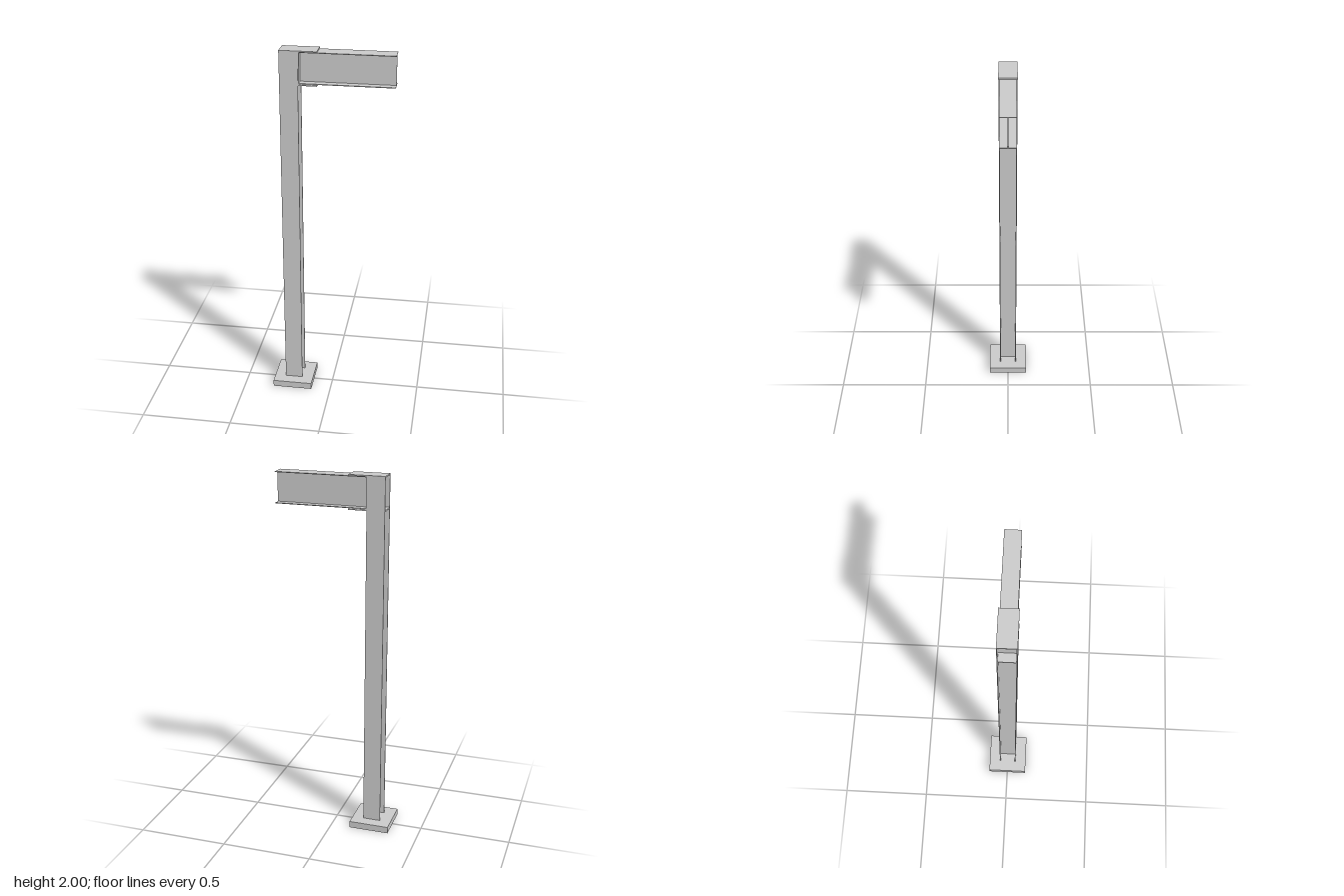
import * as THREE from 'three';

const steel = new THREE.MeshStandardMaterial({ color: 0xcccccc, flatShading: true });

// Box given by its min and max on each axis
function block(name, [x0, x1], [y0, y1], [z0, z1]) {
  const mesh = new THREE.Mesh(new THREE.BoxGeometry(x1 - x0, y1 - y0, z1 - z0), steel);
  mesh.name = name;
  mesh.position.set((x0 + x1) / 2, (y0 + y1) / 2, (z0 + z1) / 2);
  return mesh;
}

// I-shaped section, centred, extruded along z
function iSection(name, width, depth, flange, web, length) {
  const w = width / 2, d = depth / 2, f = d - flange, t = web / 2;
  const outline = [[-w, -d], [w, -d], [w, -f], [t, -f], [t, f], [w, f],
    [w, d], [-w, d], [-w, f], [-t, f], [-t, -f], [-w, -f]];
  const shape = new THREE.Shape(outline.map(([x, y]) => new THREE.Vector2(x, y)));
  const mesh = new THREE.Mesh(
    new THREE.ExtrudeGeometry(shape, { depth: length, bevelEnabled: false }), steel);
  mesh.name = name;
  return mesh;
}

export function createModel() {
  const model = new THREE.Group();
  model.name = 'cantileverPost';

  const baseTop = 0.037, plate = 0.007;
  const colLeft = -0.27, colRight = -0.172, half = 0.049, flange = 0.005;
  const beamBottom = 1.825, beamTop = 2 - plate;
  const inner = half - flange;

  model.add(block('basePlate', [-0.332, -0.109], [0, baseTop], [-0.112, 0.112]));

  // Upright column, flanges facing front and back
  const column = iSection('column', colRight - colLeft, 2 * half, flange, 0.004, 2 - plate - baseTop);
  column.rotation.x = -Math.PI / 2;
  column.position.set((colLeft + colRight) / 2, baseTop, 0);
  model.add(column);

  // Arm, flanges on top and bottom
  const arm = iSection('arm', 0.084, beamTop - beamBottom, 0.004, 0.004, 0.5);
  arm.rotation.y = Math.PI / 2;
  arm.position.set(-0.17, (beamBottom + beamTop) / 2, 0);
  model.add(arm);

  // Joint: cap, lower seat, stiffener inside the column and end plate
  const seat = [beamBottom - plate, beamBottom];
  model.add(
    block('capPlate', [colLeft, -0.073], [beamTop, 2], [-half, half]),
    block('seatPlate', [colRight, -0.073], seat, [-half, half]),
    block('stiffener', [colLeft, colRight], seat, [-inner, inner]),
    block('endPlate', [colRight - 0.003, -0.168], [beamBottom, beamTop], [-inner, inner]));

  return model;
}
